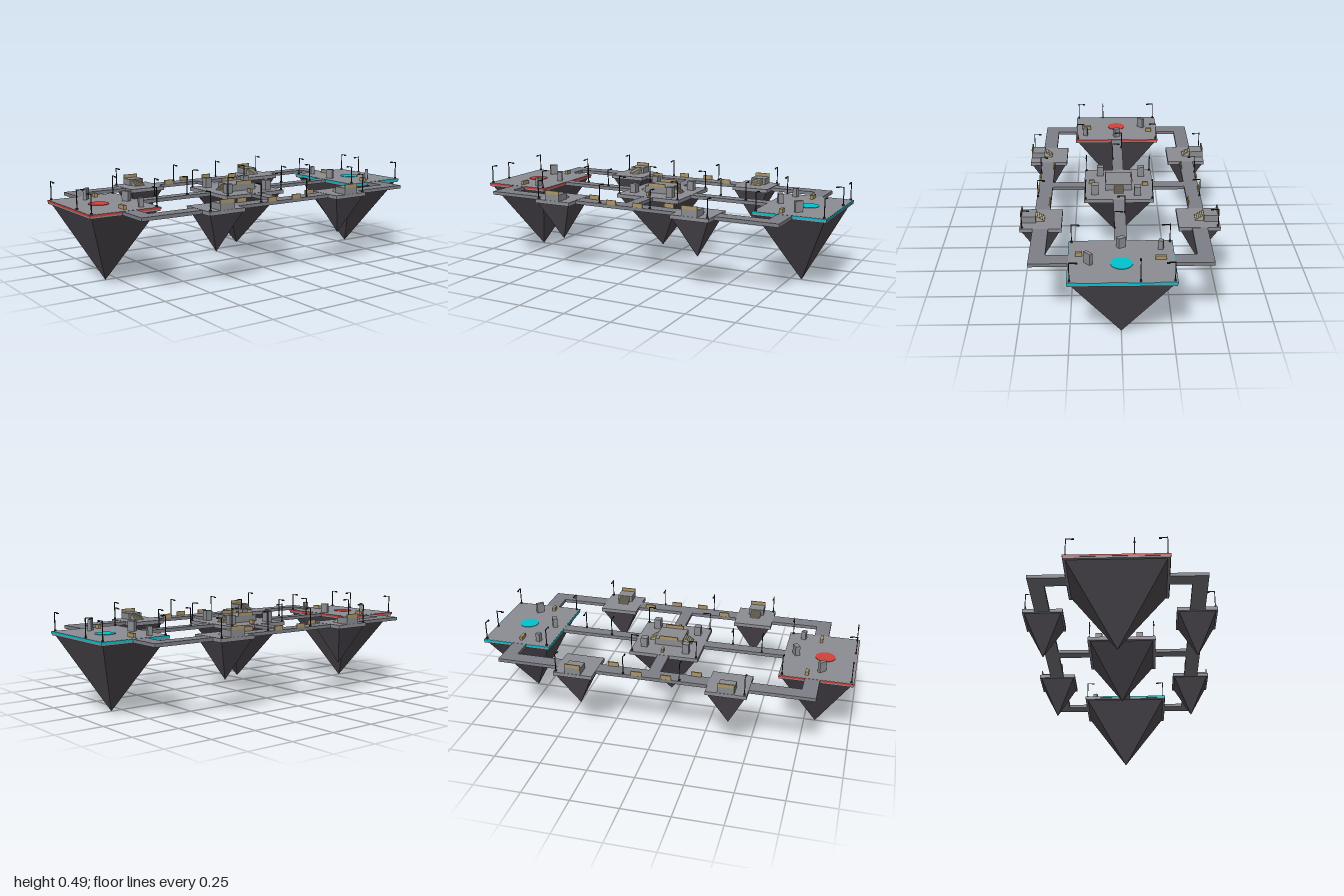
import * as THREE from 'three';

const TOP = 0.395, LOW = 0.375;

export function createModel() {
  const root = new THREE.Group();
  root.name = 'floatingArena';
  const mat = (color) => new THREE.MeshStandardMaterial({ color, flatShading: true });
  const M = {
    deck: mat(0x8c8c94), walk: mat(0x7f8087), rock: mat(0x555058), block: mat(0x8a8c90),
    tan: mat(0xab9668), step: mat(0xb0a88c), lamp: mat(0x2b2d33),
    red: mat(0xd0433a), cyan: mat(0x00c4d0),
  };

  function add(parent, name, geo, material, x, y, z, ry = 0) {
    const m = new THREE.Mesh(geo, material);
    m.name = name;
    m.position.set(x, y, z);
    m.rotation.y = ry;
    parent.add(m);
    return m;
  }
  // box given by centre in plan, footprint, and bottom/top heights
  const slab = (parent, name, material, x, z, w, d, y0, y1, ry = 0) =>
    add(parent, name, new THREE.BoxGeometry(w, y1 - y0, d), material, x, (y0 + y1) / 2, z, ry);

  // inverted pyramid hanging under a platform
  function rock(parent, x, z, hw, hd, tip) {
    const g = new THREE.ConeGeometry(Math.SQRT2, LOW - tip, 4, 1);
    g.rotateY(Math.PI / 4).rotateX(Math.PI).scale(hw, 1, hd);
    add(parent, 'rockPyramid', g, M.rock, x, (LOW + tip) / 2, z);
  }

  // street lamp whose arm points along (dx, dz)
  function lamp(x, z, dx, dz) {
    const g = new THREE.Group();
    g.name = 'lamp';
    slab(g, 'lampFoot', M.lamp, 0, 0, 0.009, 0.009, 0, 0.008);
    slab(g, 'lampPole', M.lamp, 0, 0, 0.004, 0.004, 0, 0.097);
    slab(g, 'lampArm', M.lamp, 0.019, 0, 0.038, 0.003, 0.093, 0.097);
    slab(g, 'lampHead', M.lamp, 0.033, 0, 0.014, 0.008, 0.09, 0.094);
    g.position.set(x, TOP, z);
    g.rotation.y = Math.atan2(-dz, dx);
    root.add(g);
  }

  // steps falling along local +x from the origin
  function stairs(parent, x, z, width, run, rise, ry) {
    const g = new THREE.Group();
    g.name = 'stairs';
    const n = 5;
    for (let i = 0; i < n; i++) {
      slab(g, 'step', M.step, (i + 0.5) * run / n, 0, run / n, width, 0, rise * (n - i) / (n + 1));
    }
    g.position.set(x, TOP, z);
    g.rotation.y = ry;
    parent.add(g);
  }

  // team bases, the second being the first turned half way round
  for (const s of [-1, 1]) {
    const team = s < 0 ? M.red : M.cyan;
    const base = new THREE.Group();
    base.name = s < 0 ? 'rightBase' : 'leftBase';
    base.rotation.y = s < 0 ? 0 : Math.PI;
    root.add(base);
    slab(base, 'baseDeck', M.deck, -0.81, 0, 0.376, 0.496, LOW, TOP);
    rock(base, -0.81, 0, 0.175, 0.236, 0);
    for (const e of [-1, 1]) {
      slab(base, 'teamTrim', team, -0.81, e * 0.248, 0.38, 0.005, 0.384, 0.394);
      slab(base, 'teamTrim', team, -0.81 + e * 0.188, 0, 0.004, 0.496, 0.384, 0.394);
    }
    add(base, 'spawnDisc', new THREE.CylinderGeometry(0.052, 0.052, 0.003, 32), team, -0.835, TOP + 0.001, 0);
    slab(base, 'crate', M.block, -0.83, -0.155, 0.042, 0.018, TOP, 0.452, Math.PI / 4);
    slab(base, 'crate', M.block, -0.68, 0, 0.026, 0.038, TOP, 0.447, 0.5);
    slab(base, 'crate', M.block, -0.7, 0.19, 0.024, 0.024, TOP, 0.441, -0.25);
    slab(base, 'lowBarrier', M.tan, -0.76, -0.2, 0.017, 0.034, TOP, 0.415);
    slab(base, 'lowBarrier', M.tan, -0.797, 0.185, 0.015, 0.052, TOP, 0.415);
    for (const x of [0.985, 0.637]) for (const e of [-1, 1]) lamp(s * x, e * 0.237, 0, -e);
    lamp(s * 0.988, -s * 0.083, -s, 0);
  }

  // centre platform with raised block
  const centre = new THREE.Group();
  centre.name = 'centrePlatform';
  root.add(centre);
  slab(centre, 'centreDeck', M.deck, 0, 0, 0.372, 0.372, LOW, TOP);
  rock(centre, 0, 0, 0.172, 0.172, 0.09);
  slab(centre, 'centreBlock', M.block, 0, 0, 0.15, 0.144, TOP, 0.43);
  for (const s of [-1, 1]) {
    stairs(centre, s * 0.075, 0, 0.052, 0.042, 0.035, s > 0 ? 0 : Math.PI);
    slab(centre, 'blockParapet', M.tan, 0, s * 0.071, 0.1, 0.006, 0.43, 0.448);
    slab(centre, 'crate', M.block, s * 0.11, s * 0.127, 0.036, 0.036, TOP, 0.45);
    slab(centre, 'crate', M.block, s * 0.125, -s * 0.1, 0.036, 0.036, TOP, 0.445);
    slab(centre, 'lowBarrier', M.tan, s * 0.013, -s * 0.145, 0.012, 0.03, TOP, 0.415);
    for (const e of [-1, 1]) lamp(s * 0.176, e * 0.176, -s, 0);
  }

  // four outposts
  for (const s of [-1, 1]) for (const e of [-1, 1]) {
    const post = new THREE.Group();
    post.name = 'outpost';
    root.add(post);
    const x = s * 0.396;
    slab(post, 'outpostDeck', M.deck, x, e * 0.396, 0.208, 0.208, LOW, TOP);
    rock(post, x, e * 0.396, 0.095, 0.095, 0.17);
    slab(post, 'outpostBlock', M.block, x, e * 0.46, 0.084, 0.076, TOP, 0.429);
    slab(post, 'outpostParapet', M.tan, x, e * 0.495, 0.084, 0.006, 0.429, 0.448);
    stairs(post, x, e * 0.422, 0.056, 0.042, 0.034, e * Math.PI / 2);
    lamp(s * 0.488, e * 0.488, 0, -e);
  }

  // walkways
  const walk = (x0, x1, z0, z1) =>
    slab(root, 'walkway', M.walk, (x0 + x1) / 2, (z0 + z1) / 2, Math.abs(x1 - x0), Math.abs(z1 - z0), LOW + 0.001, TOP - 0.001);
  for (const s of [-1, 1]) {
    walk(-0.83, 0.83, s * 0.358, s * 0.435);
    walk(s * 0.186, s * 0.622, -0.031, 0.031);
    walk(-0.031, 0.031, s * 0.186, s * 0.358);
    for (const e of [-1, 1]) {
      walk(s * 0.753, s * 0.83, e * 0.248, e * 0.358);
      slab(root, 'railPanel', M.tan, s * 0.22, e * 0.362, 0.056, 0.007, TOP - 0.001, 0.417);
      slab(root, 'railPanel', M.tan, s * 0.077, e * 0.431, 0.056, 0.007, TOP - 0.001, 0.417);
      lamp(s * 0.147, e * 0.43, 0, -e);
    }
    lamp(s * 0.5, s * 0.027, 0, -s);
    lamp(s * 0.335, -s * 0.027, 0, s);
  }
  return root;
}
